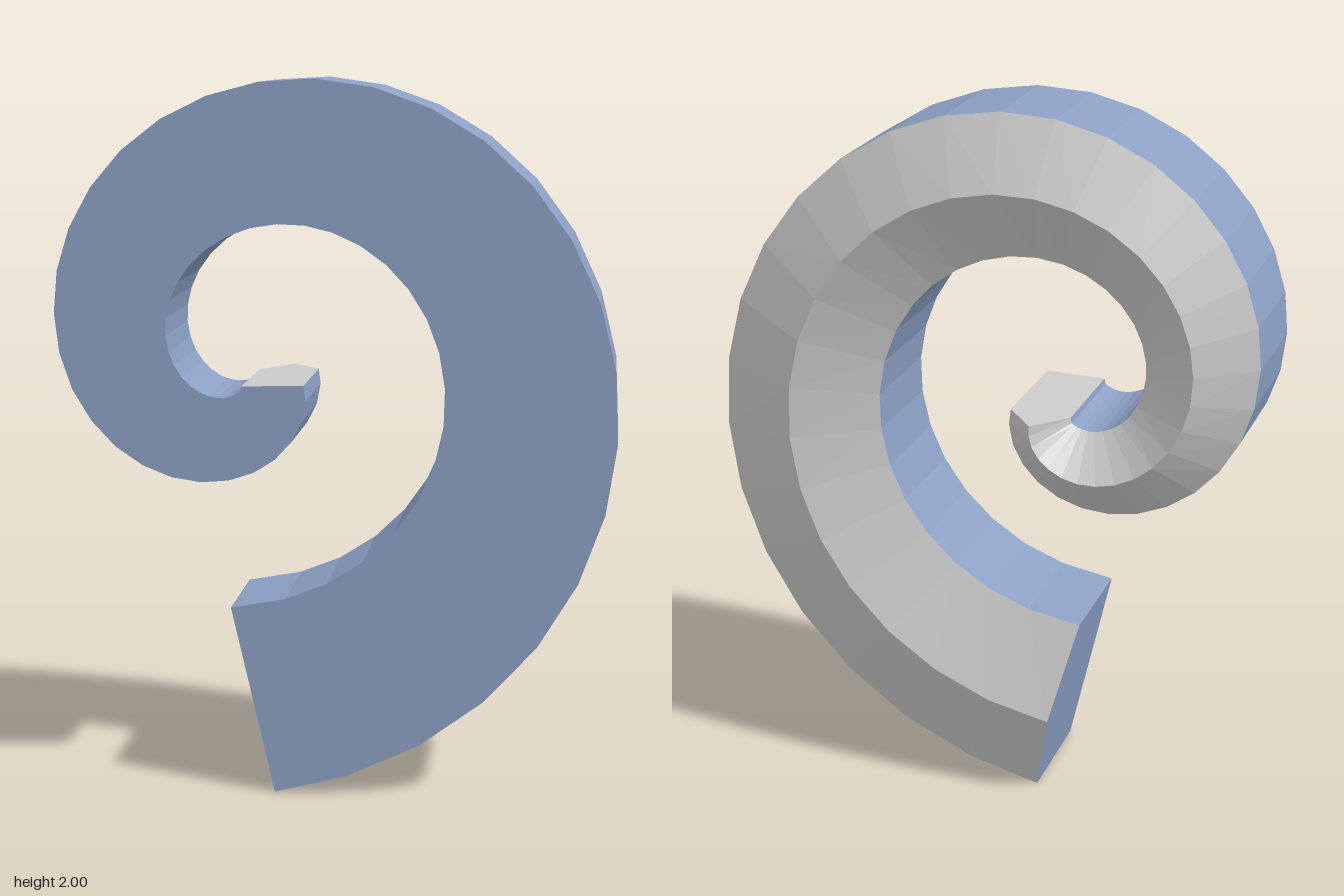
import * as THREE from 'three';

const STEPS = 37, TURN = Math.PI * 2 * 1.125;
const FRONT = 0.22, SHOULDER = -0.115, RIDGE = -0.22;

// Centre line: a spiral winding inwards from the bottom
function centre(i) {
  const t = (TURN * i) / STEPS, r = 0.957 - 0.1235 * t, a = t - Math.PI / 2;
  return new THREE.Vector2(-0.232 + r * Math.cos(a), 1.225 + r * Math.sin(a));
}

// Five-sided cross-section, tapering along the spiral, with a ridge at the back
function section(i) {
  const c = centre(i);
  const dir = centre(Math.min(i + 1, STEPS)).sub(centre(Math.max(i - 1, 0))).normalize();
  const half = THREE.MathUtils.lerp(0.548, 0.173, i / STEPS) / 2;
  const at = (side, z) => new THREE.Vector3(c.x + dir.y * half * side, c.y - dir.x * half * side, z);
  return [at(1, FRONT), at(1, SHOULDER), at(0, RIDGE), at(-1, SHOULDER), at(-1, FRONT)];
}

// Flat-shaded mesh from a list of convex polygons
function facetMesh(name, polygons, color) {
  const points = [];
  for (const p of polygons)
    for (let k = 1; k < p.length - 1; k++) points.push(p[0], p[k], p[k + 1]);
  const geometry = new THREE.BufferGeometry().setFromPoints(points);
  geometry.computeVertexNormals();
  const mesh = new THREE.Mesh(geometry, new THREE.MeshStandardMaterial({ color, flatShading: true }));
  mesh.name = name;
  return mesh;
}

export function createModel() {
  const group = new THREE.Group();
  group.name = 'spiralHorn';
  const rings = Array.from({ length: STEPS + 1 }, (_, i) => section(i));

  // Strip of quads between section corners a and b
  const strip = (a, b) => rings.slice(1).map((next, i) => [rings[i][a], rings[i][b], next[b], next[a]]);

  const blue = 0x8ca0c4, grey = 0xcccccc;
  group.add(
    facetMesh('frontFace', strip(4, 0), blue),
    facetMesh('outerWall', strip(0, 1), blue),
    facetMesh('innerWall', strip(3, 4), blue),
    facetMesh('outerBevel', strip(1, 2), grey),
    facetMesh('innerBevel', strip(2, 3), grey),
    facetMesh('baseEnd', [[...rings[0]].reverse()], blue),
    facetMesh('tipEnd', [rings[STEPS]], grey),
  );
  return group;
}
